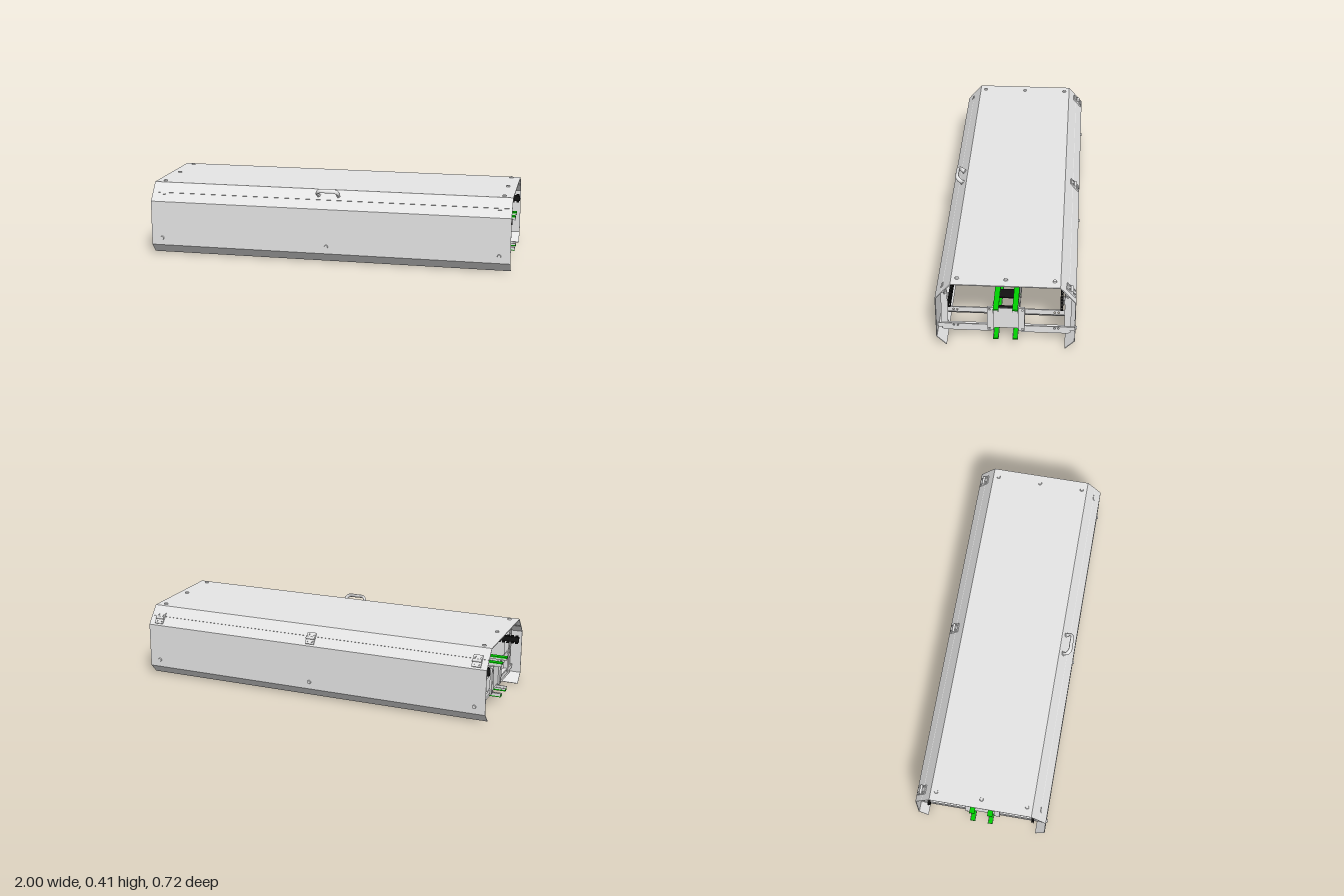
import * as THREE from 'three';

const mat = (name, color) => {
  const m = new THREE.MeshStandardMaterial({ color });
  m.name = name;
  return m;
};

export function createModel() {
  const root = new THREE.Group();
  root.name = 'coveredConveyor';
  const steel = mat('light grey steel', 0xe6e6e6);
  const zinc = mat('mid grey zinc', 0xb4b4b4);
  const green = mat('green rail', 0x00d200);
  const black = mat('black plastic', 0x121212);

  const add = (parent, name, geo, material, x = 0, y = 0, z = 0) => {
    const m = new THREE.Mesh(geo, material);
    m.name = name;
    m.position.set(x, y, z);
    parent.add(m);
    return m;
  };
  const box = (p, name, m, w, h, d, x, y, z) => add(p, name, new THREE.BoxGeometry(w, h, d), m, x, y, z);
  const rect = (x0, y0, x1, y1) => [[x0, y0], [x1, y0], [x1, y1], [x0, y1]];
  const toShape = (pts, holes = []) => {
    const s = new THREE.Shape(pts.map(p => new THREE.Vector2(...p)));
    for (const h of holes) {
      if (typeof h[0] === 'number') s.holes.push(new THREE.Path().absarc(h[0], h[1], h[2], 0, Math.PI * 2, true));
      else s.holes.push(new THREE.Path(h.map(p => new THREE.Vector2(...p))));
    }
    return s;
  };
  // Extrude a (z, y) outline along x, centred
  const alongX = (pts, length, holes) => {
    const g = new THREE.ExtrudeGeometry(toShape(pts, holes), { depth: length, bevelEnabled: false, curveSegments: 6 });
    return g.translate(0, 0, -length / 2).rotateY(-Math.PI / 2);
  };
  // Thicken an open (z, y) line into a bent-sheet outline
  const sheet = (pts, t) => {
    const v = pts.map(p => new THREE.Vector2(...p));
    const normal = i => {
      const d = v[i + 1].clone().sub(v[i]).normalize();
      return new THREE.Vector2(-d.y, d.x);
    };
    const inner = v.map((p, i) => {
      const a = normal(Math.max(i - 1, 0)), b = normal(Math.min(i, v.length - 2));
      const m = a.clone().add(b).normalize();
      return p.clone().addScaledVector(m, t / m.dot(a)).toArray();
    });
    return [...pts, ...inner.reverse()];
  };
  const flip = (pts, s) => pts.map(([z, y]) => [z * s, y]);

  // Cover: two side panels and a hinged lid
  const cover = new THREE.Group();
  cover.name = 'cover';
  root.add(cover);
  const sideProfile = sheet([[0.305, 0], [0.355, 0.052], [0.355, 0.3], [0.32, 0.342], [0.3, 0.348]], 0.004);
  for (const s of [1, -1]) add(cover, s > 0 ? 'frontPanel' : 'backPanel', alongX(flip(sideProfile, s), 2), steel);
  add(cover, 'lid', alongX(sheet([[0.318, 0.345], [0.275, 0.395], [-0.275, 0.395], [-0.318, 0.345]], 0.005), 2), steel);

  // Local frame on the sloped shoulder: y points outwards, z points down the slope
  const shoulder = (name, s, x) => {
    const g = new THREE.Group();
    g.name = name;
    g.position.set(x, 0.345, 0.317 * s);
    g.rotation.x = 0.871 * s;
    root.add(g);
    return g;
  };

  // Handle with a flattened grip
  const handle = shoulder('handle', 1, 0);
  const path = new THREE.CatmullRomCurve3([[-0.055, 0], [-0.057, 0.025], [-0.042, 0.043], [0, 0.045], [0.042, 0.043], [0.057, 0.025], [0.055, 0]]
    .map(([x, y]) => new THREE.Vector3(x, y, 0)));
  add(handle, 'handleGrip', new THREE.TubeGeometry(path, 32, 0.008, 10), steel, 0, 0, -0.03).scale.z = 1.6;
  for (const s of [1, -1]) add(handle, 'handleFoot', new THREE.CylinderGeometry(0.014, 0.014, 0.006, 14), steel, s * 0.055, 0.002, -0.03);

  // Hinges along the back, small catches at the front
  for (const x of [-0.94, 0, 0.94]) {
    const h = shoulder('hinge', -1, x);
    for (const s of [1, -1]) {
      box(h, 'hingeLeaf', steel, 0.05, 0.007, 0.032, 0, 0.004, 0.014 * -1 + s * 0.018);
      for (const k of [1, -1]) add(h, 'hingeScrew', new THREE.CylinderGeometry(0.005, 0.005, 0.006, 8), steel, k * 0.014, 0.009, -0.014 + s * 0.02);
    }
    const pin = add(h, 'hingePin', new THREE.CylinderGeometry(0.008, 0.008, 0.05, 10), steel, 0, 0.009, -0.014);
    pin.rotation.z = Math.PI / 2;
    if (x) box(shoulder('catch', 1, x), 'catchPlate', steel, 0.03, 0.005, 0.014, 0, 0.001, 0.006);
  }

  // Cover bolts
  const bolt = new THREE.CylinderGeometry(0.009, 0.011, 0.008, 12);
  for (const x of [-0.95, 0.95]) for (const z of [-0.245, 0, 0.245]) add(cover, 'lidBolt', bolt, steel, x, 0.398, z);
  for (const x of [-0.94, 0, 0.94]) for (const s of [1, -1])
    add(cover, 'sideBolt', bolt, steel, x, 0.092, s * 0.358).rotation.x = s * Math.PI / 2;

  // Support frames at both ends and in the middle
  const T = 0.006;
  const makeFrame = x => {
    const f = new THREE.Group();
    f.name = 'supportFrame';
    f.position.x = x;
    const dir = x < 0 ? -1 : 1;
    root.add(f);
    for (const s of [1, -1]) {
      const post = [[0.298, 0.06], [0.33, 0.06], [0.33, 0.31], [0.318, 0.338], [0.3, 0.343], [0.298, 0.23]];
      const holes = [[s * 0.312, 0.31, 0.005], [s * 0.312, 0.29, 0.005]];
      add(f, 'post', alongX(flip(post, s), T, holes), steel);
      box(f, 'postFlange', steel, 0.035, 0.25, 0.004, -dir * 0.015, 0.185, s * 0.33);
      for (const [y0, y1, zEnd] of [[0.18, 0.21, 0.298], [0.075, 0.1, 0.355]]) {
        const ym = y0 + 0.014;
        add(f, 'crossbar', alongX(flip(rect(0.06, y0, zEnd, y1), s), T,
          [[s * 0.268, ym, 0.005], [s * 0.248, ym, 0.005]]), steel, dir * T);
      }
      // Bent flanges under the crossbars
      const bent = box(f, 'slopedFlange', steel, 0.004, 0.062, 0.22, -dir * 0.016, 0.158, s * 0.187);
      bent.rotation.z = -dir * Math.PI / 4;
      add(f, 'footFlange', alongX(flip([[0.075, 0.058], [0.08, 0.054], [0.32, 0.054], [0.326, 0.06], [0.326, 0.076], [0.075, 0.076]], s), 0.04), steel, -dir * 0.016);
      // Central clamp bracket with square bolt holes
      add(f, 'clampBracket', alongX(flip(rect(0.064, 0.072, 0.096, 0.22), s), 0.012,
        [0.208, 0.084].map(y => flip(rect(0.079, y - 0.004, 0.089, y + 0.004), s))), steel, dir * 0.012);
      box(f, 'clampFlange', steel, 0.05, 0.148, 0.004, -dir * 0.006, 0.146, s * 0.066);
      box(f, 'railHolder', zinc, 0.03, 0.026, 0.012, 0, 0.268, s * 0.293);
    }
    add(f, 'centrePlate', alongX(rect(-0.066, 0.082, 0.066, 0.21), T), steel, dir * T);
    // Lid rib reaching the rear hinge side
    add(f, 'lidRib', alongX([[0.268, 0.39], [0.26, 0.37], [0.24, 0.361], [-0.262, 0.361], [-0.298, 0.318],
      [-0.298, 0.282], [-0.322, 0.282], [-0.322, 0.335], [-0.272, 0.39]], T,
      [[-0.312, 0.31, 0.005], [-0.312, 0.29, 0.005]]), steel, -dir * T);
    return f;
  };
  const frames = [-0.94, 0, 0.94].map(makeFrame);

  // Gas struts at the end frames
  for (const f of [frames[0], frames[2]]) {
    const g = new THREE.Group();
    g.name = 'gasStrut';
    g.position.set(Math.sign(f.position.x) * 0.015, 0.371, -0.105);
    g.rotation.x = 0.045;
    f.add(g);
    const rod = (name, r, len, z) => { add(g, name, new THREE.CylinderGeometry(r, r, len, 12), steel, 0, 0, z).rotation.x = Math.PI / 2; };
    rod('strutBody', 0.007, 0.13, 0.005);
    rod('strutRod', 0.004, 0.21, 0);
    for (const z of [-0.105, 0.07]) add(g, 'strutEnd', new THREE.SphereGeometry(0.008, 12, 8), zinc, 0, 0, z);
  }

  // Black side rails: a thin web carrying a row of short C-shaped teeth
  const tooth = [[0.29, 0.245], [0.29, 0.291], [0.276, 0.291], [0.276, 0.281], [0.28, 0.281], [0.28, 0.287],
    [0.286, 0.287], [0.286, 0.249], [0.28, 0.249], [0.28, 0.255], [0.276, 0.255], [0.276, 0.245]];
  for (const s of [1, -1]) {
    box(root, 'railWeb', black, 2, 0.034, 0.003, 0, 0.268, s * 0.288);
    const geo = alongX(flip(tooth, s), 0.015);
    for (let i = 0; i < 80; i++) add(root, 'railTooth', geo, black, -0.9875 + i * 0.025, 0, 0);
  }

  // Green guide rails with steel lips
  for (const s of [1, -1]) for (const [y, d] of [[0.24, -1], [0.052, 1]]) {
    box(root, 'greenRail', green, 2, 0.007, 0.028, 0, y, s * 0.049);
    box(root, 'railLip', steel, 2, 0.01, 0.003, 0, y + d * 0.008, s * 0.037);
    box(root, 'railSide', steel, 2, 0.016, 0.003, 0, y + d * 0.01, s * 0.062);
  }

  // Central ladder: windowed uprights on both sides with black tiles between
  const upright = new THREE.ExtrudeGeometry(toShape(rect(-0.032, 0.055, 0.032, 0.236),
    [rect(-0.02, 0.12, 0.02, 0.16), [0, 0.09, 0.006], [0, 0.19, 0.006]]),
    { depth: 0.004, bevelEnabled: false, curveSegments: 6 });
  const n = 14, step = 0.136;
  for (let i = 0; i < n; i++) {
    const x = (i - (n - 1) / 2) * step;
    for (const s of [1, -1]) add(root, 'upright', upright, steel, x, 0, s * 0.06 - 0.002);
    if (i < n - 1) box(root, 'blackTile', black, 0.07, 0.006, 0.1, x + step / 2, 0.088, 0);
  }
  return root;
}
